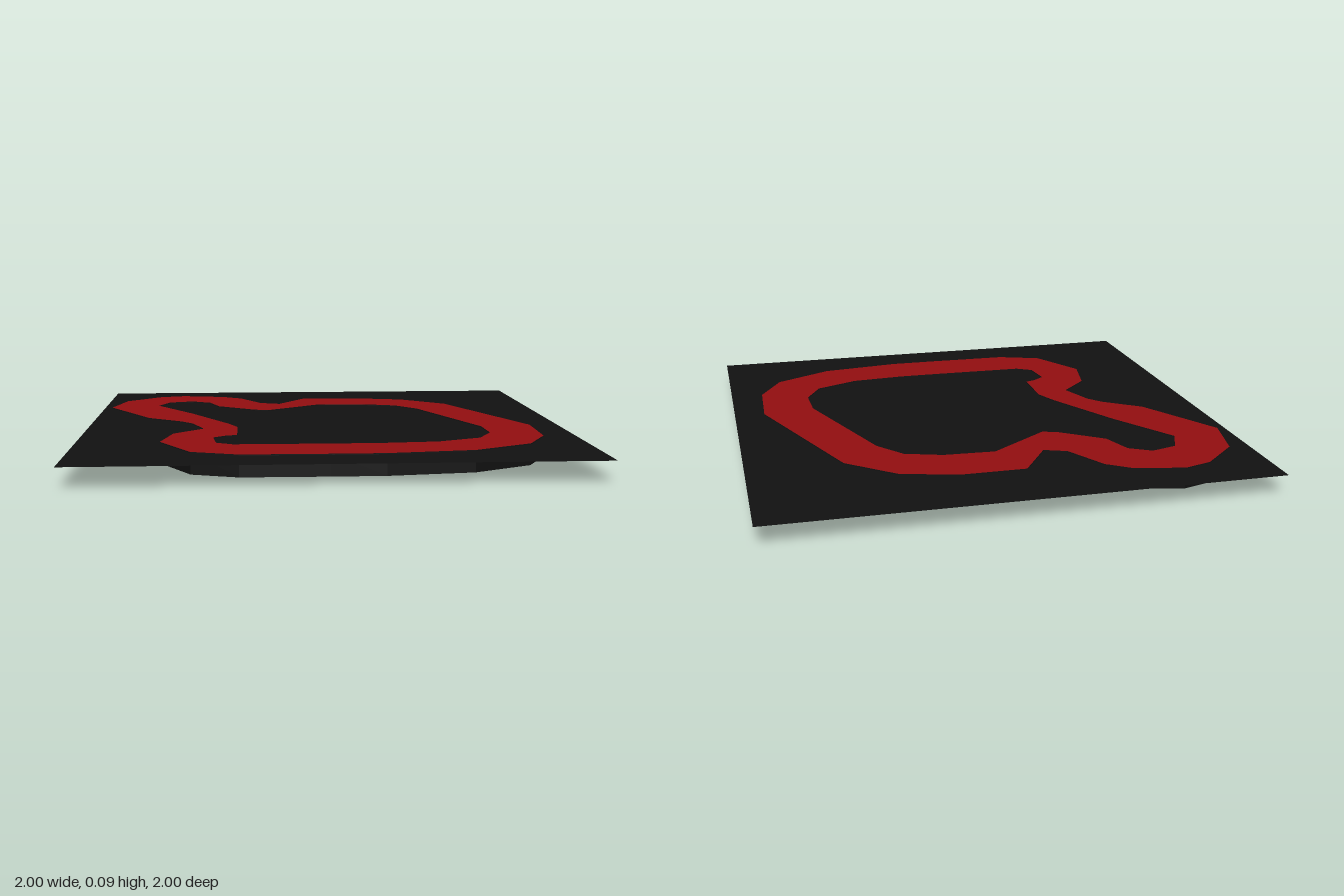
import * as THREE from 'three';

const HEIGHT = 0.086;

// Outer and inner edges of the track loop, as [x, z]
const OUTER = [
  [-0.65, -0.845], [-0.45, -0.8], [-0.36, -0.735], [-0.265, -0.565], [-0.175, -0.53],
  [-0.055, -0.71], [0.2, -0.71], [0.43, -0.65], [0.62, -0.485], [0.875, 0.185],
  [0.865, 0.465], [0.77, 0.645], [0.53, 0.775], [0.19, 0.82], [-0.02, 0.82],
  [-0.36, 0.815], [-0.54, 0.75], [-0.67, 0.52], [-0.63, 0.325], [-0.51, 0.205],
  [-0.565, 0.06], [-0.615, 0], [-0.765, -0.11], [-0.965, -0.45], [-0.915, -0.67], [-0.765, -0.81],
];
const INNER = [
  [-0.595, -0.64], [-0.51, -0.59], [-0.465, -0.465], [-0.295, -0.34], [-0.235, -0.32],
  [0.015, -0.5], [0.225, -0.49], [0.375, -0.44], [0.465, -0.325], [0.66, 0.215],
  [0.665, 0.375], [0.6, 0.5], [0.42, 0.58], [0.19, 0.6], [-0.02, 0.6], [-0.385, 0.595],
  [-0.45, 0.555], [-0.465, 0.43], [-0.415, 0.39], [-0.37, 0.375], [-0.37, 0.17],
  [-0.41, 0.075], [-0.58, -0.235], [-0.75, -0.5], [-0.705, -0.61], [-0.62, -0.635],
];

// Shapes are drawn in x, -z and then laid flat
const toPoints = (list) => list.map(([x, z]) => new THREE.Vector2(x, -z));

function addFlat(group, name, geometry, material, y) {
  geometry.rotateX(-Math.PI / 2);
  geometry.translate(0, y, 0);
  const mesh = new THREE.Mesh(geometry, material);
  mesh.name = name;
  group.add(mesh);
}

export function createModel() {
  const group = new THREE.Group();
  group.name = 'raceTrack';
  const black = new THREE.MeshStandardMaterial({ color: 0x111111, side: THREE.DoubleSide });
  const red = new THREE.MeshStandardMaterial({ color: 0x930e10 });

  const loop = new THREE.Shape(toPoints(OUTER));
  loop.holes.push(new THREE.Path(toPoints(INNER)));

  // Thin square ground sheet
  addFlat(group, 'groundSheet', new THREE.PlaneGeometry(2, 2), black, HEIGHT - 0.004);

  // Raised loop with black walls and underside, hanging below the sheet
  addFlat(group, 'trackBody',
    new THREE.ExtrudeGeometry(loop, { depth: HEIGHT - 0.002, bevelEnabled: false }), black, 0);

  // Red road surface
  addFlat(group, 'roadSurface', new THREE.ShapeGeometry(loop), red, HEIGHT);

  return group;
}
